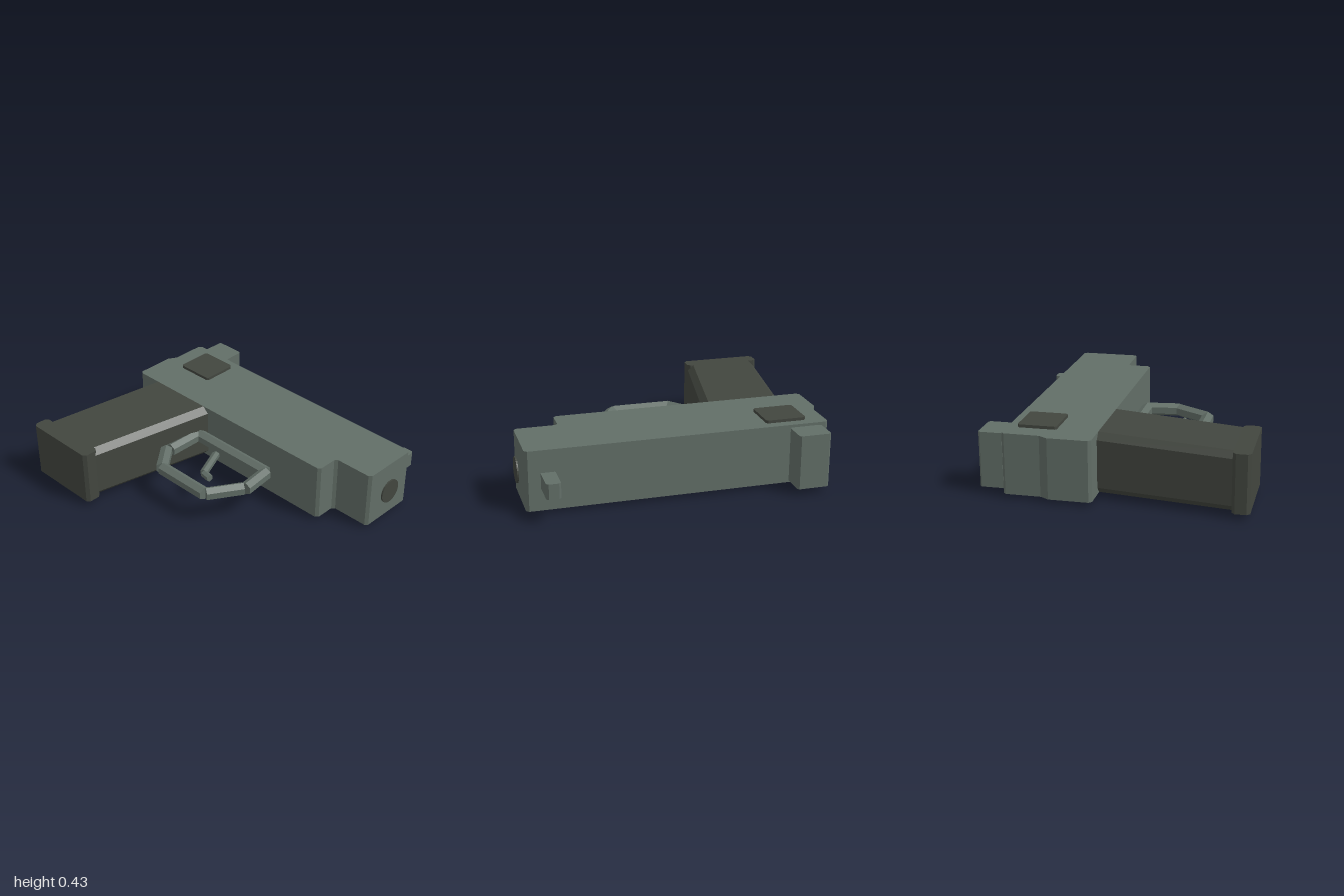
import * as THREE from 'three';

const MID = 0.217; // height of the symmetry plane

export function createModel() {
  const model = new THREE.Group();
  model.name = 'pistol';

  const frameGrey = new THREE.MeshStandardMaterial({ color: 0x626e67, flatShading: true });
  frameGrey.name = 'greenGrey';
  const darkGrey = new THREE.MeshStandardMaterial({ color: 0x42463f, flatShading: true });
  darkGrey.name = 'darkGrey';

  const add = (name, geometry, material, parent = model) => {
    const mesh = new THREE.Mesh(geometry, material);
    mesh.name = name;
    parent.add(mesh);
    return mesh;
  };

  // Outline in x, y with every corner cut off by length c
  const cutShape = (points, c) => {
    const v = points.map(([x, y]) => new THREE.Vector2(x, y));
    const out = [];
    v.forEach((p, i) => {
      for (const q of [v[(i + v.length - 1) % v.length], v[(i + 1) % v.length]]) {
        out.push(p.clone().add(q.clone().sub(p).setLength(c)));
      }
    });
    return new THREE.Shape(out);
  };

  // Flat slab with an x, z outline, reaching from y0 to y1
  const slab = (points, c, y0, y1) => {
    const shape = cutShape(points.map(([x, z]) => [x, -z]), c);
    return new THREE.ExtrudeGeometry(shape, { depth: y1 - y0, bevelEnabled: false })
      .rotateX(-Math.PI / 2).translate(0, y0, 0);
  };
  const rect = (x0, x1, z0, z1) => [[x0, z0], [x1, z0], [x1, z1], [x0, z1]];

  // Six-sided bar between two x, z points, ridges facing up and down
  const bar = (name, [x0, z0], [x1, z1], r, parent) => {
    const dx = x1 - x0, dz = z1 - z0;
    const geometry = new THREE.CylinderGeometry(r, r, Math.hypot(dx, dz), 6)
      .rotateX(Math.PI / 2);
    const mesh = add(name, geometry, frameGrey, parent);
    mesh.position.set((x0 + x1) / 2, MID, (z0 + z1) / 2);
    mesh.rotation.y = Math.atan2(dx, dz);
  };

  // Slide and frame
  add('body', slab([
    [-0.96, -0.66], [0.97, -0.66], [0.97, -0.26], [0.69, -0.26],
    [0.69, -0.1], [-0.992, -0.1], [-0.992, -0.385], [-0.96, -0.405],
  ], 0.018, 0.024, 0.41), frameGrey);

  // Sights
  add('rearSight', slab(rect(-0.912, -0.703, -0.823, -0.66), 0.012, 0.04, 0.392), frameGrey);
  add('frontSight', slab(rect(0.787, 0.877, -0.842, -0.65), 0.014, 0.168, 0.266), frameGrey);

  // Side plates
  add('upperPlate', slab(rect(-0.833, -0.57, -0.597, -0.353), 0.012, 0.405, 0.429), darkGrey);
  add('lowerPlate', slab(rect(-0.833, -0.57, -0.597, -0.353), 0.012, 0, 0.03), darkGrey);

  // Muzzle disc
  const muzzle = add('muzzle',
    new THREE.CylinderGeometry(0.082, 0.082, 0.01, 24).rotateZ(Math.PI / 2), darkGrey);
  muzzle.position.set(0.991, MID, -0.447);

  // Grip: chamfered bar, slanted and tapered towards the base
  const gripShape = cutShape([[-0.27, -0.193], [0.27, -0.193], [0.27, 0.193], [-0.27, 0.193]], 0.042);
  const grip = new THREE.ExtrudeGeometry(gripShape, { depth: 0.9, bevelEnabled: false });
  const pos = grip.attributes.position;
  for (let i = 0; i < pos.count; i++) {
    const t = pos.getZ(i) / 0.9;
    pos.setXYZ(i,
      pos.getX(i) * (1 - 0.07 * t) - 0.578 - 0.16 * t,
      pos.getY(i) * (1 - 0.05 * t) + MID,
      -0.11 + 0.9 * t);
  }
  grip.computeVertexNormals();
  add('grip', grip, darkGrey);
  add('gripBase', slab(rect(-1, -0.475, 0.73, 0.84), 0.02, 0.033, 0.401), darkGrey);

  // Trigger guard loop
  const guard = new THREE.Group();
  guard.name = 'triggerGuard';
  model.add(guard);
  [
    [[-0.33, -0.035], [0.295, -0.035]],
    [[-0.337, -0.03], [-0.338, 0.225]],
    [[-0.355, 0.245], [-0.22, 0.41]],
    [[-0.22, 0.405], [0.172, 0.405]],
    [[0.18, 0.4], [0.31, 0.19]],
    [[0.322, 0.185], [0.297, -0.032]],
  ].forEach(([a, b], i) => bar('guardBar' + (i + 1), a, b, 0.044, guard));

  // Trigger
  bar('trigger', [-0.083, 0.048], [0.01, 0.253], 0.027, model);
  bar('triggerTip', [0.012, 0.254], [0.08, 0.265], 0.025, model);

  return model;
}
